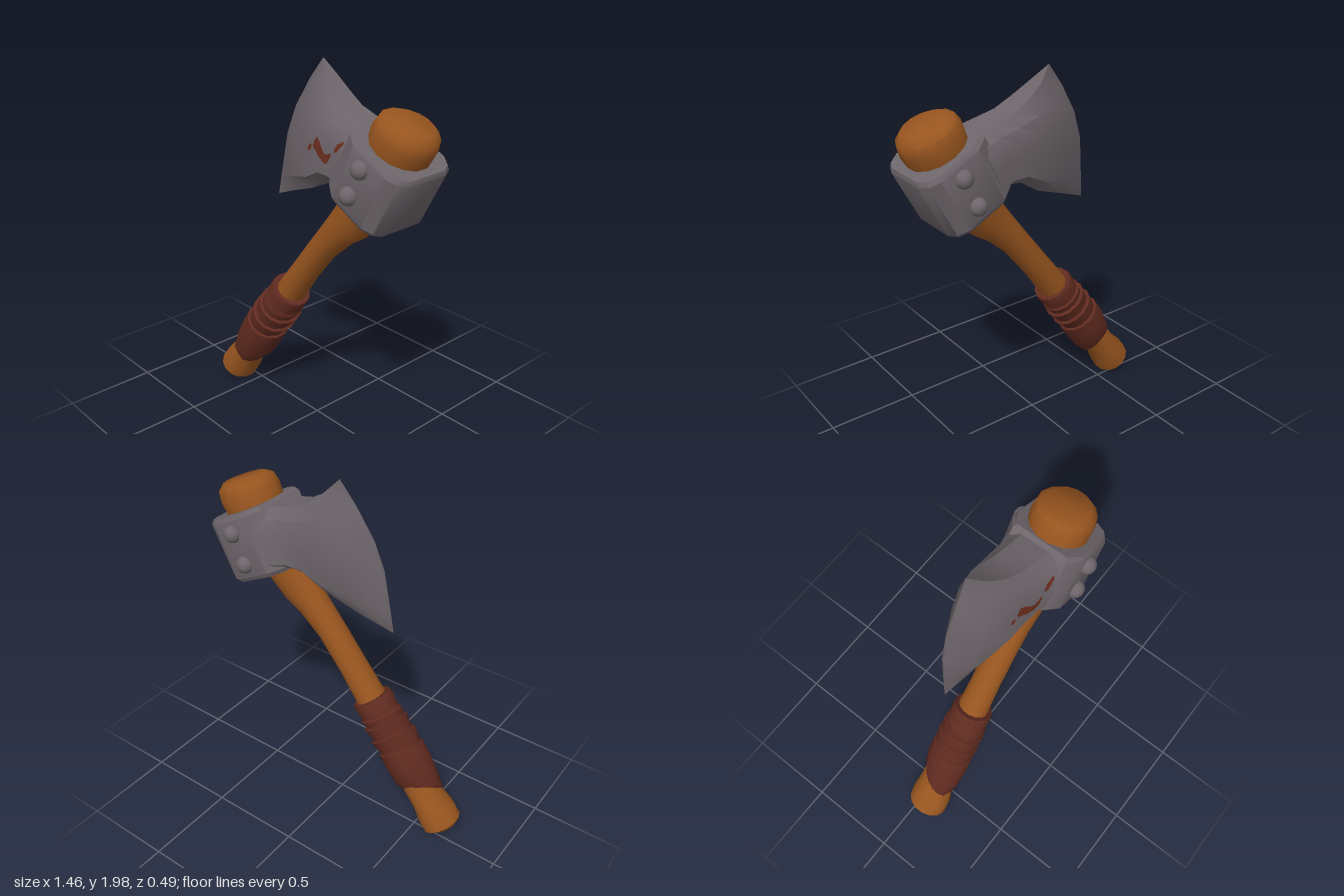
import * as THREE from 'three';
import { toCreasedNormals } from 'three/addons/utils/BufferGeometryUtils.js';

const material = (name, color) => {
  const m = new THREE.MeshStandardMaterial({ color });
  m.name = name;
  return m;
};

// Skin a list of closed rings and cap both ends
function loft(rings, crease = 0.7) {
  const n = rings[0].length, pos = [], index = [];
  const push = p => pos.push(p.x, p.y, p.z);
  rings.forEach(r => r.forEach(push));
  for (let i = 0; i < rings.length - 1; i++) {
    for (let j = 0; j < n; j++) {
      const a = i * n + j, b = i * n + (j + 1) % n;
      index.push(a, b, b + n, a, b + n, a + n);
    }
  }
  const last = (rings.length - 1) * n, c = rings.length * n;
  for (const r of [rings[0], rings[rings.length - 1]]) {
    push(r.reduce((s, p) => s.add(p), new THREE.Vector3()).divideScalar(n));
  }
  for (let j = 0; j < n; j++) {
    const k = (j + 1) % n;
    index.push(c, k, j, c + 1, last + j, last + k);
  }
  const g = new THREE.BufferGeometry();
  g.setAttribute('position', new THREE.Float32BufferAttribute(pos, 3));
  g.setIndex(index);
  return toCreasedNormals(g, crease);
}

// Elliptical ring across direction d; tilt slides its back half along d
function ellipse(c, d, halfWidth, halfDepth, tilt = 0, sides = 14) {
  const side = new THREE.Vector3(d.y, -d.x, 0).normalize();
  return Array.from({ length: sides }, (_, j) => {
    const a = j / sides * Math.PI * 2;
    return c.clone().addScaledVector(side, Math.sin(a) * halfWidth)
      .add(new THREE.Vector3(0, 0, Math.cos(a) * halfDepth))
      .addScaledVector(d, tilt * (1 - Math.cos(a)) / 2);
  });
}

export function createModel() {
  const group = new THREE.Group();
  const wood = material('wood', 0x98551f);
  const leather = material('leather', 0x602b20);
  const steel = material('steel', 0x6d656a);
  const rust = material('rust', 0x6b2d1d);
  rust.side = THREE.DoubleSide;
  const add = (name, geometry, mat) => {
    const mesh = new THREE.Mesh(geometry, mat);
    mesh.name = name;
    group.add(mesh);
    return mesh;
  };

  // Handle: centre x, y, z, half width, half depth
  const stations = [
    [-0.652, 0.06, 0.055, 0.08, 0.085], [-0.642, 0.078, 0.055, 0.106, 0.115],
    [-0.6, 0.14, 0.052, 0.102, 0.118], [-0.55, 0.21, 0.048, 0.085, 0.105],
    [-0.46, 0.33, 0.045, 0.09, 0.1], [-0.27, 0.6, 0.04, 0.085, 0.09],
    [-0.16, 0.75, 0.035, 0.08, 0.085], [-0.05, 0.9, 0.032, 0.074, 0.08],
    [0.09, 1.08, 0.028, 0.076, 0.078], [0.2, 1.2, 0.022, 0.092, 0.08],
    [0.275, 1.27, 0.018, 0.112, 0.087], [0.365, 1.385, 0.01, 0.122, 0.1],
    [0.49, 1.57, 0, 0.14, 0.13], [0.54, 1.675, -0.005, 0.154, 0.152],
    [0.575, 1.745, -0.005, 0.163, 0.155], [0.598, 1.79, -0.005, 0.152, 0.145],
    [0.608, 1.815, -0.005, 0.115, 0.11]
  ];
  const centres = stations.map(s => new THREE.Vector3(s[0], s[1], s[2]));
  add('handle', loft(stations.map((s, i) => {
    const d = centres[Math.min(i + 1, centres.length - 1)].clone().sub(centres[Math.max(i - 1, 0)]);
    return ellipse(centres[i], d.setZ(0).normalize(), s[3], s[4]);
  }), 0.8), wood);

  // Leather grip with overlapping turns: position along grip, radius, tilt
  const gripPath = new THREE.CatmullRomCurve3([
    [-0.555, 0.2, 0.048], [-0.46, 0.33, 0.045], [-0.37, 0.47, 0.043], [-0.27, 0.6, 0.04], [-0.165, 0.745, 0.037]
  ].map(p => new THREE.Vector3(...p)));
  const turns = [
    [0, 0.085, 0.13], [0.01, 0.1, 0.13], [0.16, 0.118, 0.08], [0.34, 0.126, 0.05],
    [0.48, 0.125, 0.04], [0.49, 0.112, 0.04], [0.54, 0.118, 0.04], [0.61, 0.127, 0.04],
    [0.62, 0.112, 0.04], [0.67, 0.114, 0.03], [0.74, 0.124, 0.03], [0.75, 0.108, 0.03],
    [0.82, 0.116, 0.02], [0.85, 0.106, 0.01], [0.97, 0.113, 0], [1, 0.107, 0], [1, 0.08, 0]
  ];
  add('gripWrap', loft(turns.map(([s, r, tilt]) =>
    ellipse(gripPath.getPointAt(s), gripPath.getTangentAt(s).setZ(0).normalize(), r, r, tilt))), leather);

  // Collar around the handle, in a frame leaning with it
  const across = new THREE.Vector3(0.889, -0.459, 0), along = new THREE.Vector3(0.459, 0.889, 0);
  const outline = [[0.1, 0.2], [0.155, 0.17], [0.18, 0.12], [0.18, -0.12], [0.155, -0.17], [0.1, -0.2],
    [-0.12, -0.2], [-0.2, -0.15], [-0.2, 0.15], [-0.12, 0.2]];
  const collarRings = [[-0.172, 0.93], [-0.15, 1], [0.15, 1], [0.172, 0.93]].map(([v, k]) =>
    outline.map(([u, z]) => new THREE.Vector3(0.49, 1.525, -0.003)
      .addScaledVector(across, u * k).addScaledVector(along, v).add(new THREE.Vector3(0, 0, z * k))));
  add('collar', loft(collarRings, 0.6), steel);

  // Blade: top x, y, bottom x, y, half thickness, outward bulge
  const slices = [
    [0.42, 1.735, 0.3, 1.45, 0.185, 0], [0.32, 1.77, 0.21, 1.465, 0.15, 0],
    [0.2, 1.805, 0.13, 1.455, 0.14, 0.01], [0.11, 1.86, 0.035, 1.385, 0.125, 0.04],
    [0.03, 1.925, -0.14, 1.32, 0.085, 0.065], [-0.04, 2, -0.315, 1.247, 0.004, 0.085]
  ];
  const section = [[0, 0.6], [0.14, 1], [0.45, 1], [0.65, 0.97], [0.85, 0.85], [1, 0.5],
    [1, -0.5], [0.85, -0.85], [0.65, -0.97], [0.45, -1], [0.14, -1], [0, -0.6]];
  const bladeRings = slices.map(([tx, ty, bx, by, half, bulge], i) => section.map(([t, w]) =>
    new THREE.Vector3(
      bx + (tx - bx) * t - bulge * Math.sin(Math.PI * Math.pow(t, 1.2)),
      by + (ty - by) * t,
      w * half - 0.012 - 0.065 * t * i / 5)));
  const blade = add('blade', loft(bladeRings, 0.6), steel);

  // Rivets on both cheeks
  for (const [x, y, side] of [[0.5, 1.62, 1], [0.43, 1.48, 1], [0.53, 1.6, -1], [0.46, 1.45, -1]]) {
    const dome = new THREE.SphereGeometry(0.046, 14, 10);
    dome.scale(1, 1, 0.95);
    add('rivet', dome, steel).position.set(x, y, side * 0.202);
  }

  // Rust flecks laid on the front of the blade: strips of x, y, half height
  const ray = new THREE.Raycaster();
  const onBlade = (x, y) => {
    ray.set(new THREE.Vector3(x, y, 1), new THREE.Vector3(0, 0, -1));
    const hit = ray.intersectObject(blade)[0];
    return [x, y, (hit ? hit.point.z : 0.1) + 0.005];
  };
  const flecks = [
    [[0.045, 1.6, 0.004], [0.06, 1.61, 0.018], [0.075, 1.615, 0.01]],
    [[0.09, 1.63, 0.012], [0.115, 1.64, 0.034], [0.14, 1.62, 0.035], [0.165, 1.6, 0.025],
      [0.19, 1.585, 0.022], [0.215, 1.59, 0.022], [0.24, 1.615, 0.008]],
    [[0.26, 1.64, 0.006], [0.28, 1.655, 0.02], [0.3, 1.67, 0.014], [0.325, 1.69, 0.008]]
  ];
  for (const strip of flecks) {
    const pos = [], index = [];
    strip.forEach(([x, y, h], i) => {
      pos.push(...onBlade(x, y - h), ...onBlade(x, y), ...onBlade(x, y + h));
      if (i) {
        for (const a of [i * 3 - 3, i * 3 - 2]) index.push(a, a + 3, a + 4, a, a + 4, a + 1);
      }
    });
    const g = new THREE.BufferGeometry();
    g.setAttribute('position', new THREE.Float32BufferAttribute(pos, 3));
    g.setIndex(index);
    g.computeVertexNormals();
    add('rustFleck', g, rust);
  }
  return group;
}
